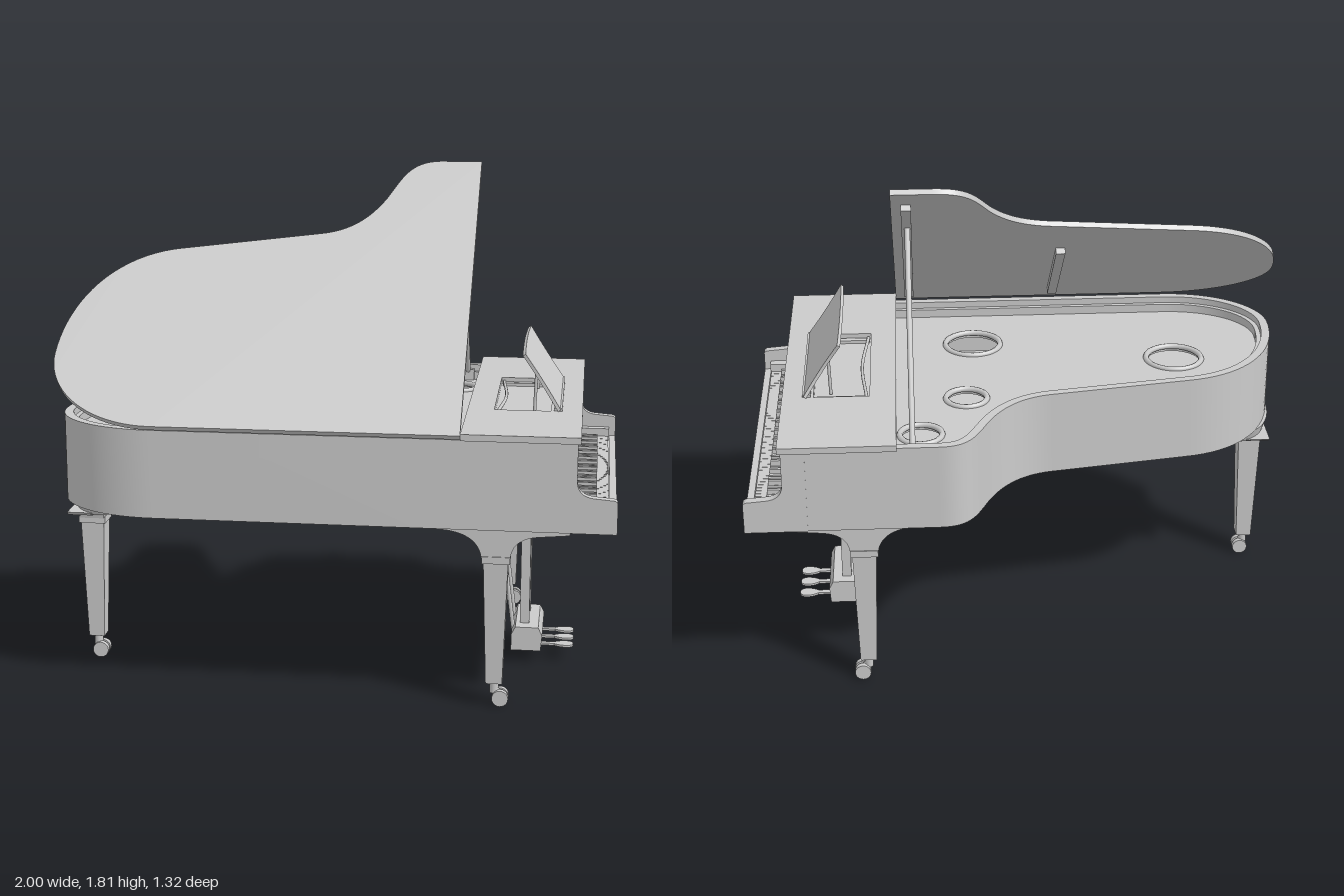
import * as THREE from 'three';
import { toCreasedNormals } from 'three/addons/utils/BufferGeometryUtils.js';

const V2 = (x, y) => new THREE.Vector2(x, y);
const V3 = (x, y, z) => new THREE.Vector3(x, y, z);

// Case outline from straight side round the tail to the curved side, as (x, -z), inset by d
function outline(d, xFront) {
  const path = new THREE.Path();
  path.moveTo(xFront, -0.64);
  path.lineTo(-0.6, -0.64);
  path.bezierCurveTo(-0.82, -0.64, -0.98, -0.5, -0.98, -0.34);
  path.bezierCurveTo(-0.98, -0.1, -0.85, 0.13, -0.6, 0.165);
  path.lineTo(-0.1, 0.25);
  path.bezierCurveTo(0.02, 0.27, 0.09, 0.35, 0.14, 0.45);
  path.bezierCurveTo(0.19, 0.56, 0.21, 0.635, 0.32, 0.635);
  path.lineTo(xFront, 0.635);
  const p = path.getPoints(20);
  return p.map((q, i) => {
    const t = p[Math.min(i + 1, p.length - 1)].clone().sub(p[Math.max(i - 1, 0)]).normalize();
    const end = i === 0 || i === p.length - 1;
    if (end) return V2(q.x, q.y - Math.sign(q.y) * d);
    return V2(q.x + t.y * d, q.y - t.x * d);
  });
}

function profile(start, segs) {
  const s = new THREE.Shape();
  s.moveTo(...start);
  for (const a of segs) {
    if (a.length === 2) s.lineTo(...a);
    else if (a.length === 4) s.quadraticCurveTo(...a);
    else s.bezierCurveTo(...a);
  }
  return s;
}

const extrude = (shape, depth) =>
  toCreasedNormals(new THREE.ExtrudeGeometry(shape, { depth, bevelEnabled: false, curveSegments: 12 }), 0.6);
// Horizontal slab from a plan shape
const slab = (shape, y, h) => extrude(shape, h).rotateX(-Math.PI / 2).translate(0, y, 0);

export function createModel() {
  const root = new THREE.Group();
  const mat = new THREE.MeshStandardMaterial({ color: 0xcccccc, side: THREE.DoubleSide });
  const flat = new THREE.MeshStandardMaterial({ color: 0xcccccc, flatShading: true });

  const add = (name, geo, parent = root, m = mat) => {
    const mesh = new THREE.Mesh(geo, m);
    mesh.name = name;
    parent.add(mesh);
    return mesh;
  };
  // Box from its min and max on each axis
  const box = (name, x0, x1, y0, y1, z0, z1, parent = root) =>
    add(name, new THREE.BoxGeometry(x1 - x0, y1 - y0, z1 - z0)
      .translate((x0 + x1) / 2, (y0 + y1) / 2, (z0 + z1) / 2), parent);
  const rod = (name, a, b, r, sides = 10, parent = root) => {
    const d = b.clone().sub(a);
    const mesh = add(name, new THREE.CylinderGeometry(r, r, d.length(), sides), parent);
    mesh.position.copy(a).add(b).multiplyScalar(0.5);
    mesh.quaternion.setFromUnitVectors(V3(0, 1, 0), d.normalize());
    return mesh;
  };

  // Curved case wall and the thin ledge inside it
  const wall = (d0, d1, x) => new THREE.Shape([...outline(d0, x), ...outline(d1, x).reverse()]);
  add('rim', slab(wall(0, 0.032, 0.8), 0.66, 0.315));
  add('innerLedge', slab(wall(0.03, 0.05, 0.8), 0.9, 0.05));

  // Plate with round openings, soundboard below
  const plate = new THREE.Shape(outline(0.03, 0.8));
  const openings = [[-0.59, 0.15, 0.105], [0.17, 0.32, 0.105], [0.21, -0.15, 0.075], [0.38, -0.43, 0.075]];
  for (const [x, z, r] of openings) {
    plate.holes.push(new THREE.Path().absarc(x, -z, r, 0, Math.PI * 2, true));
    add('plateRing', new THREE.TorusGeometry(r, 0.011, 8, 36).rotateX(Math.PI / 2).translate(x, 0.92, z));
  }
  add('plate', slab(plate, 0.9, 0.018));
  add('soundboard', slab(new THREE.Shape(outline(0.03, 0.8)), 0.745, 0.012));

  // Ribs and beams under the soundboard, clipped to the case
  const poly = outline(0.025, 0.36);
  const inside = (x, y) => poly.reduce((c, a, i) => {
    const b = poly[(i + 1) % poly.length];
    return (a.y > y) !== (b.y > y) && x < (b.x - a.x) * (y - a.y) / (b.y - a.y) + a.x ? !c : c;
  }, false);
  const bar = (name, x, z, angle, w, y0, y1, t0, t1) => {
    const c = Math.cos(angle), s = Math.sin(angle);
    let start = null;
    for (let t = t0; t <= t1 + 0.011; t += 0.01) {
      const inn = t <= t1 && inside(x + c * t, -(z + s * t));
      if (inn && start === null) start = t;
      if (!inn && start !== null) {
        const mid = (start + t) / 2;
        const m = add(name, new THREE.BoxGeometry(t - start, y1 - y0, w));
        m.position.set(x + c * mid, (y0 + y1) / 2, z + s * mid);
        m.rotation.y = -angle;
        start = null;
      }
    }
  };
  for (let i = 0; i < 13; i++) bar('soundboardRib', -0.95 + i * 0.14, 0.2, 0.9, 0.025, 0.72, 0.745, -1.2, 1.2);
  for (const a of [2.35, 2.75, 3.1, 3.5]) bar('underBeam', 0.34, 0.1, a, 0.05, 0.665, 0.725, 0, 1.5);
  bar('crossBeam', -0.6, 0.2, Math.PI / 2, 0.07, 0.665, 0.725, -0.8, 0.8);

  // Keybed, keys and fallboard
  box('keybed', 0.34, 0.985, 0.66, 0.69, -0.62, 0.62);
  box('keySlip', 0.975, 1.0, 0.66, 0.7, -0.61, 0.61);
  const pitch = 1.14 / 52;
  for (let i = 0; i < 52; i++) {
    const z = 0.57 - i * pitch;
    box('whiteKey', 0.83, 0.972, 0.688, 0.705, z - pitch + 0.0012, z);
    if (i < 51 && i % 7 !== 1 && i % 7 !== 4)
      box('blackKey', 0.83, 0.93, 0.7, 0.722, z - pitch - 0.006, z - pitch + 0.006);
  }
  box('fallboard', 0.8, 0.835, 0.727, 0.975, -0.615, 0.615);
  box('fallboardRail', 0.83, 0.855, 0.9, 0.975, -0.612, 0.612);
  const cheek = profile([0.78, 0.66], [[1, 0.66], [1, 0.77], [0.995, 0.78, 0.98, 0.78],
    [0.92, 0.785], [0.865, 0.79, 0.862, 0.84], [0.862, 0.975], [0.78, 0.975]]);
  for (const s of [1, -1]) {
    add('cheek', extrude(cheek, 0.032).translate(0, 0, s > 0 ? 0.608 : -0.637));
    box('keyBlock', 0.83, 0.975, 0.688, 0.735, s > 0 ? 0.572 : -0.61, s > 0 ? 0.61 : -0.572);
  }

  // Fixed front top board with the music desk recess
  const top = new THREE.Shape([V2(0.465, -0.655), V2(0.872, -0.655), V2(0.872, 0.66), V2(0.465, 0.66)]);
  top.holes.push(new THREE.Path([V2(0.56, -0.27), V2(0.56, 0.27), V2(0.76, 0.27), V2(0.76, -0.27)]));
  add('topBoard', slab(top, 0.975, 0.023));
  box('topBoardFloor', 0.54, 0.79, 0.955, 0.972, -0.29, 0.29);

  // Music desk: waisted panel leaning back, with two struts and a tray rail
  const desk = profile([-0.28, 0], [[0.28, 0], [0.245, 0.12, 0.275, 0.235], [0, 0.25, -0.275, 0.235],
    [-0.245, 0.12, -0.28, 0]]);
  add('musicDesk', extrude(desk, 0.012).rotateY(Math.PI / 2).rotateZ(0.576).translate(0.785, 0.998, 0));
  box('deskLip', 0.77, 0.8, 0.995, 1.008, -0.27, 0.27);
  for (const s of [1, -1]) {
    rod('deskStrut', V3(0.7, 0.975, s * 0.2), V3(0.705, 1.13, s * 0.2), 0.006);
    box('deskSlide', 0.565, 0.76, 0.972, 0.984, s * 0.25 - 0.012, s * 0.25 + 0.012);
  }
  add('deskRail', new THREE.TubeGeometry(new THREE.CatmullRomCurve3(
    [V3(0.57, 0.985, -0.26), V3(0.59, 0.985, 0), V3(0.57, 0.985, 0.26)]), 16, 0.006, 8));

  // Raised lid hinged along the straight side, with battens beneath
  const lid = new THREE.Group();
  lid.name = 'lid';
  lid.position.set(0, 0.978, 0.648);
  lid.rotation.x = 0.674;
  root.add(lid);
  add('lidPanel', slab(new THREE.Shape(outline(-0.016, 0.465)), 0, 0.02).translate(0, 0, -0.656), lid);
  box('lidBatten', 0.395, 0.43, -0.022, 0.002, -1.2, -0.1, lid);
  box('lidBatten', -0.17, -0.135, -0.022, 0.002, -0.65, -0.1, lid);

  // Lid prop
  rod('lidProp', V3(0.41, 0.93, -0.6), V3(0.41, 1.59, -0.145), 0.0105);
  box('propFoot', 0.385, 0.435, 0.915, 0.96, -0.605, -0.575);

  // Tapered leg with collar and twin-wheel caster
  const SQ = Math.SQRT2;
  const leg = (name, x, z, casterX) => {
    const g = new THREE.Group();
    g.name = name;
    g.position.set(x, 0, z);
    root.add(g);
    const square = (n, y0, y1, w0, w1) =>
      add(n, new THREE.CylinderGeometry(w1 / SQ, w0 / SQ, y1 - y0, 4).rotateY(Math.PI / 4)
        .translate(0, (y0 + y1) / 2, 0), g, flat);
    square('legShaft', 0.085, 0.535, 0.058, 0.086);
    square('legCollar', 0.53, 0.555, 0.098, 0.098);
    rod('casterStem', V3(0, 0.045, 0), V3(0, 0.09, 0), 0.016, 12, g);
    rod('casterFork', V3(0, 0.065, 0), V3(casterX, 0.032, 0), 0.012, 8, g);
    for (const s of [1, -1])
      add('casterWheel', new THREE.CylinderGeometry(0.029, 0.029, 0.02, 20).rotateX(Math.PI / 2)
        .translate(casterX, 0.029, s * 0.016), g);
    return g;
  };
  const bracket = profile([0.3, 0.665], [[0.3, 0.655], [0.42, 0.645], [0.53, 0.63, 0.54, 0.55], [0.64, 0.55],
    [0.645, 0.62, 0.73, 0.63], [0.84, 0.64], [0.85, 0.665]]);
  for (const s of [1, -1]) {
    leg('frontLeg', 0.59, s * 0.557, 0.022);
    add('frontLegBracket', extrude(bracket, 0.09).translate(0, 0, s * 0.557 - 0.045));
  }
  leg('tailLeg', -0.912, 0.25, 0.012);

  // Tail leg support: oval moulding with a flared neck
  add('tailMoulding', new THREE.CylinderGeometry(1, 0.9, 0.05, 48).scale(0.13, 1, 0.24).translate(-0.845, 0.637, 0.25));
  const neck = profile([-0.22, 0.62], [[-0.2, 0.605], [-0.05, 0.6, -0.05, 0.55], [0.05, 0.55],
    [0.05, 0.6, 0.2, 0.605], [0.22, 0.62]]);
  add('tailLegBracket', extrude(neck, 0.09).rotateY(Math.PI / 2).translate(-0.957, 0, 0.25));

  // Pedal lyre: top panel, pillars, rods, box and three pedals
  box('lyrePanel', 0.4, 0.82, 0.643, 0.662, -0.32, 0.33);
  box('lyrePanelInset', 0.46, 0.76, 0.632, 0.645, -0.22, 0.23);
  const lyreBox = profile([0.63, 0.05], [[0.74, 0.05], [0.745, 0.11], [0.73, 0.14], [0.645, 0.14], [0.63, 0.11]]);
  add('pedalBox', extrude(lyreBox, 0.27).translate(0, 0, -0.13));
  for (const s of [1, -1]) {
    box('lyrePillar', 0.66, 0.695, 0.135, 0.645, s * 0.07 - 0.019, s * 0.07 + 0.019);
    rod('lyreBrace', V3(0.635, 0.11, s * 0.07), V3(0.565, 0.645, s * 0.07), 0.008);
  }
  for (const z of [-0.025, 0, 0.025]) rod('pedalRod', V3(0.68, 0.135, z), V3(0.68, 0.645, z), 0.0035, 8);
  const pedal = profile([0.7, -0.01], [[0.79, -0.01], [0.81, -0.026, 0.835, -0.026],
    [0.86, -0.024, 0.86, 0], [0.86, 0.024, 0.835, 0.026], [0.81, 0.026, 0.79, 0.01], [0.7, 0.01]]);
  for (const z of [-0.075, 0.005, 0.085]) add('pedal', slab(pedal, 0.058, 0.008).translate(0, 0, z));

  return root;
}
